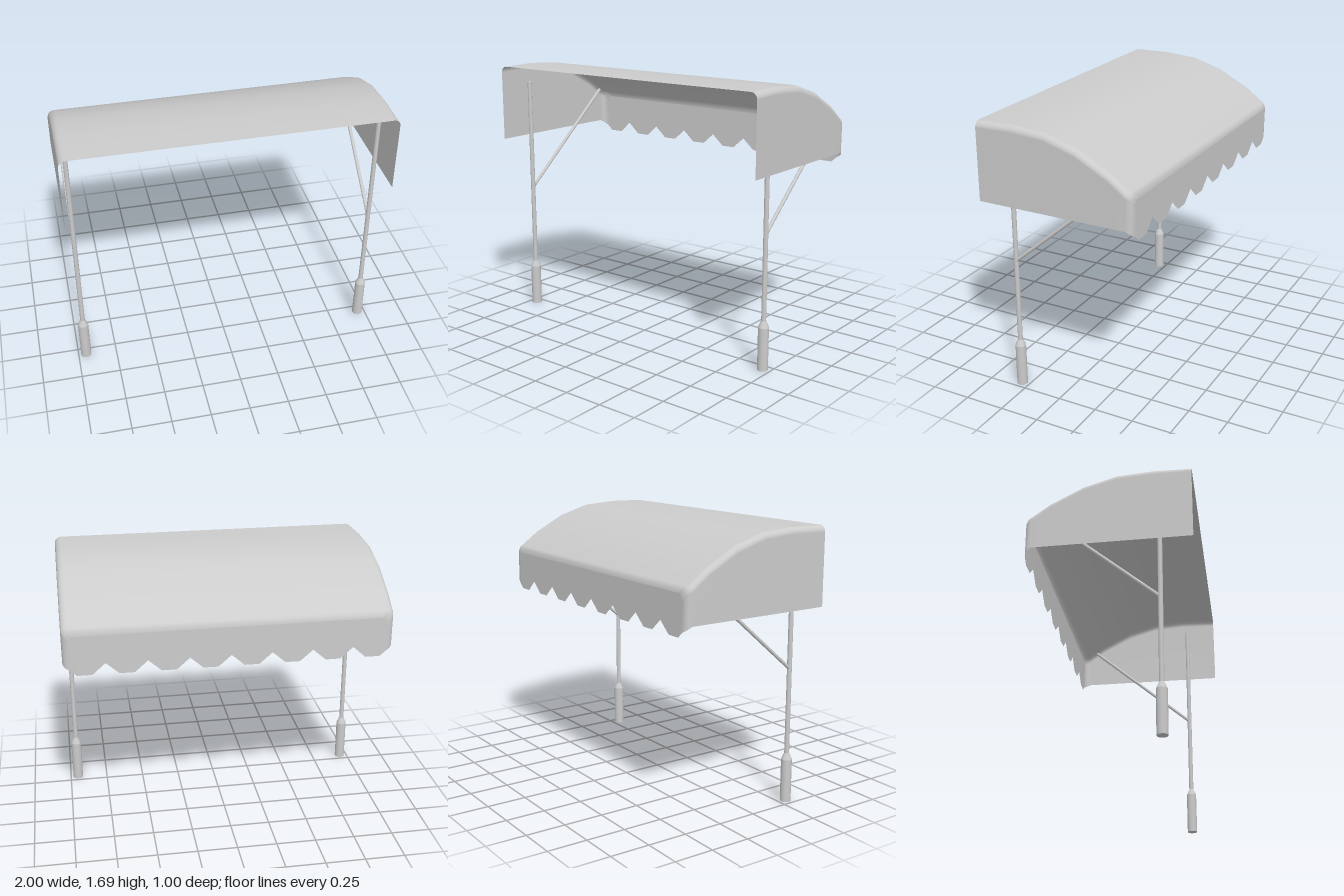
import * as THREE from 'three';
import { mergeGeometries, mergeVertices } from 'three/addons/utils/BufferGeometryUtils.js';

const RADIUS = 0.04; // rounding of the canopy edges
const HEM = 1.2;     // lower edge of the side panels

// Half cross-section mirrored: up the right panel, over the roof, down the left panel
function canopyRow({ z, top, half, hem }) {
  const side = [[half, hem], [half, top - RADIUS]];
  for (let i = 1; i <= 5; i++) {
    const a = (i / 5) * Math.PI / 2;
    side.push([half - RADIUS * (1 - Math.cos(a)), top - RADIUS * (1 - Math.sin(a))]);
  }
  const row = side.map(([x, y]) => [-x, y, z]);
  return row.concat(side.reverse().map(([x, y]) => [x, y, z]));
}

function canopyGeometry() {
  // Roof arc from the open front towards the rear
  const stations = [[0.5, 1.685], [0.27, 1.69], [0.05, 1.675], [-0.15, 1.615], [-0.35, 1.51]]
    .map(([z, top]) => ({ z, top, half: 1, hem: HEM }));
  // Rounded rear corner
  [1.43, 1.42, 1.405, 1.38].forEach((top, i) => {
    const a = (i / 3) * Math.PI / 2;
    stations.push({
      z: -0.46 - RADIUS * Math.sin(a), top,
      half: 0.96 + RADIUS * Math.cos(a), hem: HEM - 0.035 * i / 3,
    });
  });
  const rows = stations.map(canopyRow);
  const n = rows[0].length;
  const index = [];
  for (let r = 0; r < rows.length - 1; r++) {
    for (let i = 0; i < n - 1; i++) {
      const a = r * n + i, b = a + 1, c = a + n, d = c + 1;
      index.push(a, b, c, b, d, c);
    }
  }
  const shell = new THREE.BufferGeometry();
  shell.setAttribute('position', new THREE.Float32BufferAttribute(rows.flat(2), 3));
  shell.setIndex(index);

  // Rear wall with the scalloped valance along its bottom
  const outline = rows[rows.length - 1].map(([x, y]) => new THREE.Vector2(x, y));
  for (let k = 7; k >= 0; k--) {
    const c = -0.875 + 0.25 * k;
    outline.push(new THREE.Vector2(c + 0.045, 1.13), new THREE.Vector2(c - 0.045, 1.13));
    if (k > 0) outline.push(new THREE.Vector2(c - 0.125, HEM));
  }
  const wall = new THREE.ShapeGeometry(new THREE.Shape(outline));
  wall.deleteAttribute('normal');
  wall.deleteAttribute('uv');
  wall.rotateY(Math.PI).translate(0, 0, -0.5);

  const canopy = mergeVertices(mergeGeometries([shell, wall]), 0.001);
  canopy.computeVertexNormals();
  return canopy;
}

export function createModel() {
  const group = new THREE.Group();
  const metal = new THREE.MeshStandardMaterial({ color: 0xcccccc });
  const cloth = new THREE.MeshStandardMaterial({ color: 0xcccccc, side: THREE.DoubleSide });

  const add = (parent, name, geometry, material) => {
    const mesh = new THREE.Mesh(geometry, material);
    mesh.name = name;
    parent.add(mesh);
    return mesh;
  };

  add(group, 'canopy', canopyGeometry(), cloth);

  // Upright cylinder spanning y0 to y1
  const upright = (parent, name, y0, y1, r0, r1, open = false) => {
    const geometry = new THREE.CylinderGeometry(r1, r0, y1 - y0, 16, 1, open);
    add(parent, name, geometry, metal).position.y = (y0 + y1) / 2;
  };

  for (const side of [-1, 1]) {
    const support = new THREE.Group();
    support.name = side > 0 ? 'leftSupport' : 'rightSupport';
    support.position.set(side * 0.95, 0, 0.3);
    group.add(support);

    upright(support, 'foot', 0, 0.27, 0.033, 0.033);
    upright(support, 'footTaper', 0.27, 0.31, 0.033, 0.015, true);
    upright(support, 'pole', 0.3, 1.57, 0.015, 0.014);

    // Diagonal brace from the pole up to the rear of the roof
    const from = new THREE.Vector3(0, 0.84, 0);
    const to = new THREE.Vector3(0, 1.44, -0.7);
    const along = to.clone().sub(from);
    const brace = add(support, 'brace', new THREE.CylinderGeometry(0.011, 0.011, along.length(), 12), metal);
    brace.position.copy(from).add(to).multiplyScalar(0.5);
    brace.quaternion.setFromUnitVectors(new THREE.Vector3(0, 1, 0), along.normalize());
  }
  return group;
}
